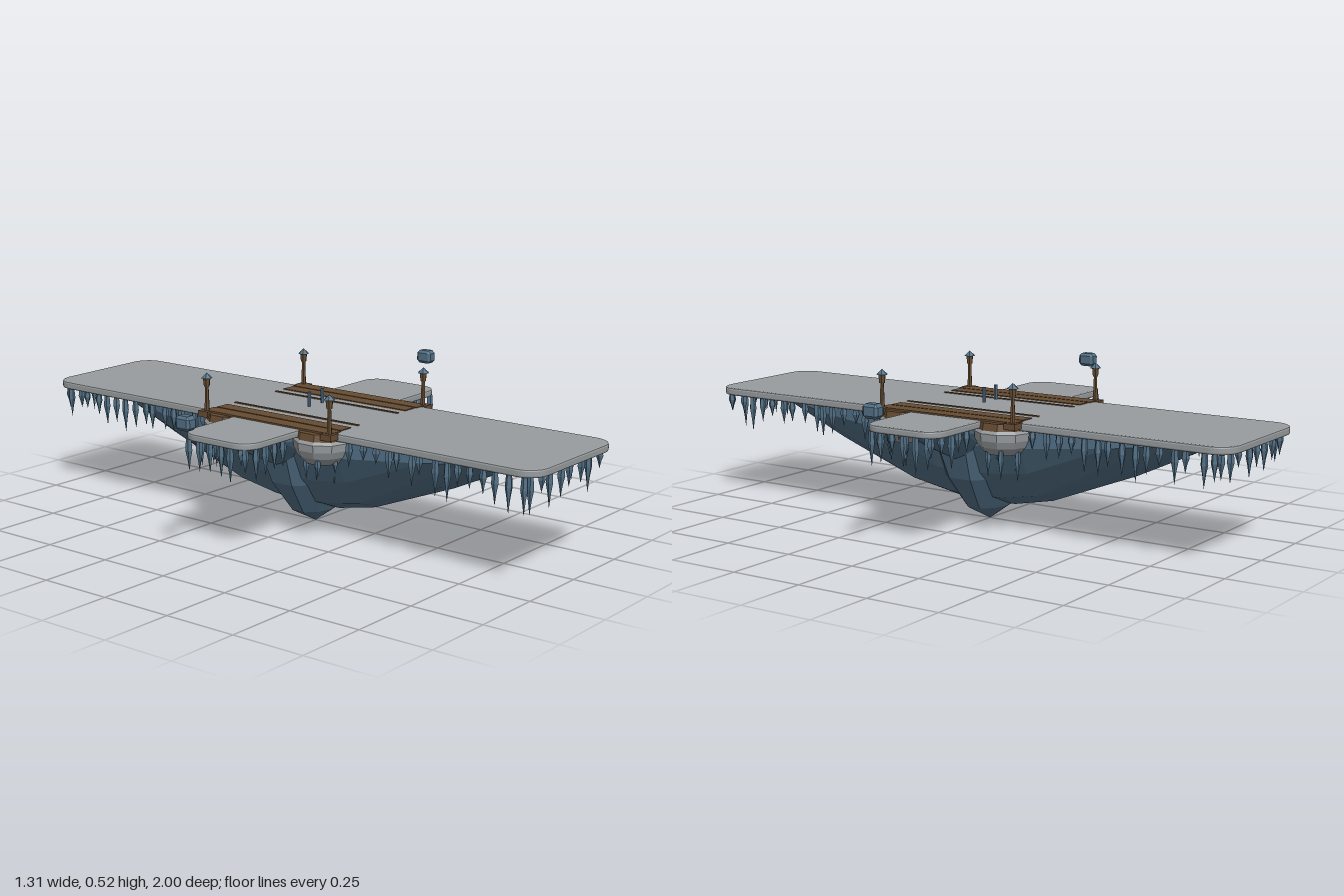
import * as THREE from 'three';
import { mergeGeometries } from 'three/addons/utils/BufferGeometryUtils.js';
import { ConvexGeometry } from 'three/addons/geometries/ConvexGeometry.js';

const flat = (name, color) => new THREE.MeshStandardMaterial({ name, color, flatShading: true });

export function createModel() {
  const model = new THREE.Group();
  model.name = 'floatingPlatform';
  const stone = flat('grey stone', 0x989c9e);
  const ice = flat('blue ice rock', 0x527086);
  const wood = flat('brown wood', 0x664c32);

  const add = (name, geo, mat, x = 0, y = 0, z = 0, parent = model) => {
    const m = new THREE.Mesh(geo, mat);
    m.name = name;
    m.position.set(x, y, z);
    parent.add(m);
    return m;
  };
  const lathe = (pts, sides) => new THREE.LatheGeometry(pts.map(p => new THREE.Vector2(...p)), sides);
  const box = (w, h, d) => new THREE.BoxGeometry(w, h, d);

  let seed = 7;
  const rand = () => (seed = (seed * 16807) % 2147483647) / 2147483647;

  // Deck: two crossing slabs with rounded corners and softened edges
  const slab = (hw, hd, r, thick) => {
    const b = 0.006, w = hw - b, d = hd - b;
    const s = new THREE.Shape();
    s.moveTo(-w + r, -d);
    s.lineTo(w - r, -d);
    s.absarc(w - r, -d + r, r, -Math.PI / 2, 0);
    s.absarc(w - r, d - r, r, 0, Math.PI / 2);
    s.absarc(-w + r, d - r, r, Math.PI / 2, Math.PI);
    s.absarc(-w + r, -d + r, r, Math.PI, Math.PI * 1.5);
    return new THREE.ExtrudeGeometry(s, {
      depth: thick - 2 * b, bevelThickness: b, bevelSize: b, bevelSegments: 2, curveSegments: 6,
    }).rotateX(-Math.PI / 2).translate(0, b, 0);
  };
  add('mainDeck', slab(0.237, 1, 0.065, 0.026), stone, 0, 0.362, 0);
  add('sideDeck', slab(0.515, 0.143, 0.06, 0.024), stone, 0, 0.362, 0);

  // Keel: faceted hulls from cross-sections [distance, half width, lowest height]
  const section = [[1, 0], [1, 0.25], [0.78, 0.57], [0.42, 0.88], [0, 1]];
  const hull = (stations, alongX) => {
    const pts = [], top = 0.368;
    for (const [s, hw, low] of stations) for (const dir of [-1, 1]) for (const side of [-1, 1])
      for (const [u, v] of section) {
        const a = s * dir, b = u * hw * side, y = top - v * (top - low);
        pts.push(alongX ? new THREE.Vector3(a, y, b) : new THREE.Vector3(b, y, a));
      }
    return new ConvexGeometry(pts);
  };
  add('longKeel', hull([[0.1, 0.21, 0.06], [0.25, 0.208, 0.09], [0.56, 0.18, 0.21],
    [0.78, 0.13, 0.315], [0.87, 0.06, 0.355]]), ice);
  add('crossKeel', hull([[0.18, 0.11, 0.225], [0.3, 0.105, 0.28], [0.4, 0.075, 0.335],
    [0.44, 0.03, 0.36]], true), ice);
  add('keelTip', lathe([[0, 0], [0.1, 0.052], [0.188, 0.165], [0.232, 0.27], [0.235, 0.366]], 10), ice)
    .scale.z = 0.72;

  // Icicles, merged into one mesh
  const icicles = [];
  const icicle = (x, z, len, y = 0.364, r = 0.012) => icicles.push(
    lathe([[0, -1], [0.5, -0.62], [1, -0.36], [0.75, 0]], 5)
      .scale(r, len, r).rotateY(rand() * 6).translate(x, y, z));
  const length = () => 0.055 + 0.075 * rand();
  const jitter = () => (rand() - 0.5) * 0.02;

  for (const s of [-1, 1]) {
    for (let i = 0; i <= 7; i++) icicle(-0.2 + i * 0.057 + jitter() / 2, s * (0.965 - 0.01 * rand()), length());
    for (const e of [-1, 1]) {
      for (let z = 0.31; z < 0.95; z += 0.045)
        icicle(s * (0.213 + jitter() / 2), e * (z + jitter()), length());
      for (let x = 0.31; x < 0.5; x += 0.045)
        icicle(s * (x + jitter()), e * (0.118 + jitter() / 4), length());
    }
    for (let z = -0.09; z < 0.1; z += 0.045) icicle(s * (0.48 + jitter() / 2), z, length());
  }

  // Decking boards, corner balconies and lantern posts
  for (const s of [-1, 1]) {
    add('innerTrim', box(0.01, 0.006, 0.52), wood, s * 0.107, 0.388, 0);
    add('middleBoard', box(0.052, 0.006, 0.52), wood, s * 0.174, 0.388, 0);
    add('outerBoard', box(0.053, 0.026, 0.53), wood, s * 0.232, 0.378, 0);
    for (const e of [-1, 1]) {
      const corner = new THREE.Group();
      corner.name = 'cornerBalcony';
      model.add(corner);
      add('bowl', lathe([[0, 0.275], [0.06, 0.28], [0.085, 0.305], [0.095, 0.328], [0.097, 0.352],
        [0.088, 0.364], [0, 0.364]], 10), stone, s * 0.2, 0, e * 0.19, corner);
      add('bowlRim', new THREE.CylinderGeometry(0.085, 0.09, 0.024, 10), wood, s * 0.2, 0.373, e * 0.19, corner);
      for (let i = 0; i < 5; i++) {
        const a = i * 1.257 + 0.4;
        icicle(s * (0.22 + 0.05 * Math.cos(a)), e * (0.2 + 0.05 * Math.sin(a)), 0.05 + 0.06 * rand(), 0.3, 0.01);
      }

      const lamp = new THREE.Group();
      lamp.name = 'lanternPost';
      lamp.position.set(s * 0.254, 0.38, e * 0.256);
      model.add(lamp);
      add('foot', box(0.042, 0.02, 0.042), wood, 0, 0, 0, lamp);
      add('post', new THREE.CylinderGeometry(0.006, 0.009, 0.09, 6), wood, 0, 0.05, 0, lamp);
      add('lantern', new THREE.CylinderGeometry(0.013, 0.01, 0.028, 6), wood, 0, 0.105, 0, lamp);
      add('lanternCap', new THREE.ConeGeometry(0.02, 0.018, 6), ice, 0, 0.128, 0, lamp);
    }
    // Upright markers at the centre and hovering rocks at the sides
    add('marker', box(0.011, 0.05, 0.006), ice, s * 0.034, 0.424, 0);
    const rock = [];
    for (const x of [-1, 1]) for (const y of [-1, 1]) for (const z of [-1, 1])
      rock.push(new THREE.Vector3(x * 0.02, y * 0.014, z * 0.02),
        new THREE.Vector3(x * 0.013, y * 0.023, z * 0.018),
        new THREE.Vector3(x * 0.013, y * 0.013, z * 0.029));
    add('hoveringRock', new ConvexGeometry(rock), ice, s * 0.636, 0.46, 0);
  }
  add('icicles', mergeGeometries(icicles), ice);

  return model;
}
